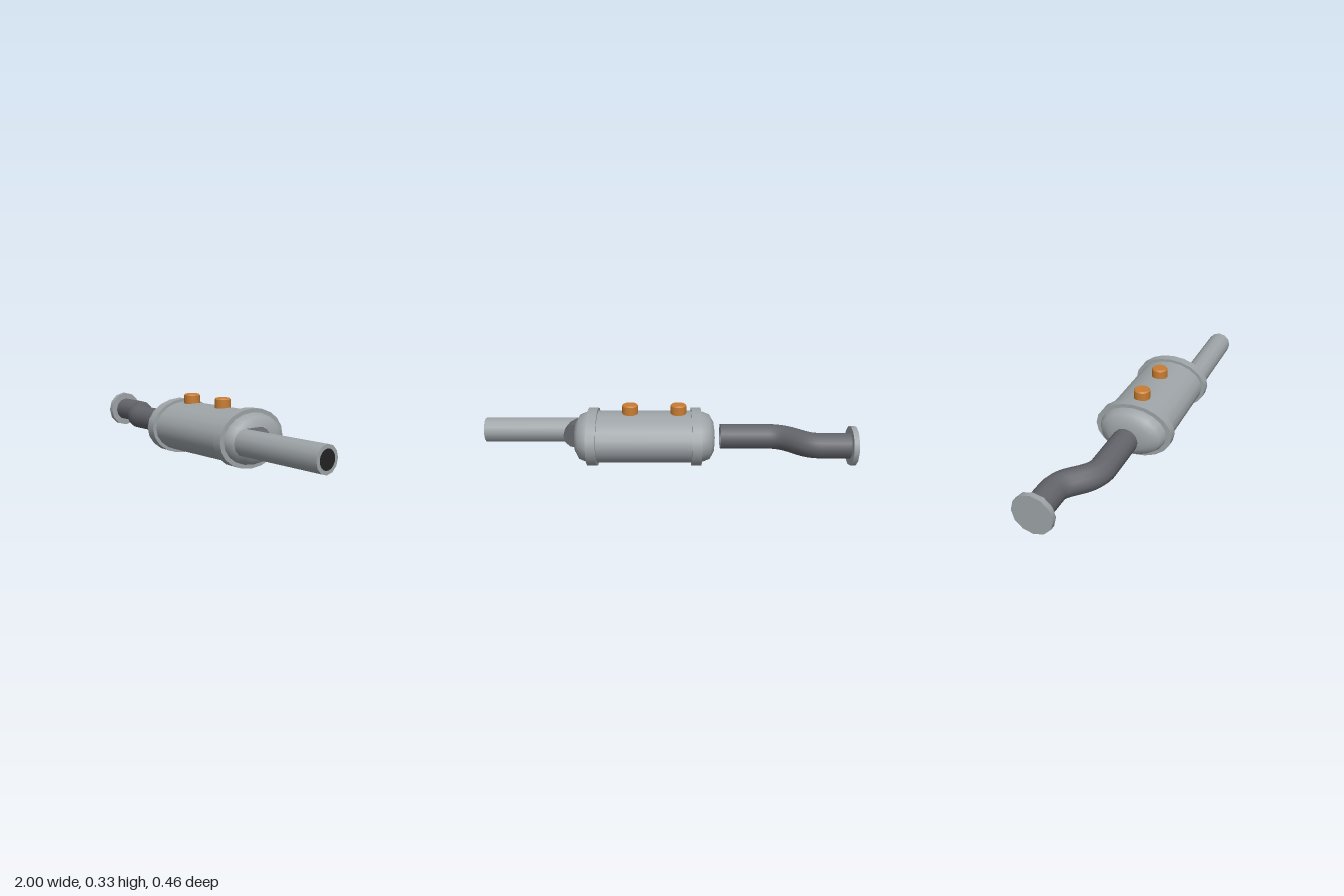
import * as THREE from 'three';
import { toCreasedNormals } from 'three/addons/utils/BufferGeometryUtils.js';

const AXIS_Y = 0.153;   // height of every pipe axis
const BODY_Z = 0.017;   // depth of the chamber axis
const OVAL = 0.715;     // height / width of the oval chamber
const PIPE_R = 0.068;

export function createModel() {
  const group = new THREE.Group();
  const mat = (name, color, side = THREE.FrontSide) => {
    const m = new THREE.MeshStandardMaterial({ color, side });
    m.name = name;
    return m;
  };
  const steel = mat('steel', 0x9ea4a7);
  const darkSteel = mat('dark steel', 0x64656b, THREE.DoubleSide);
  const copper = mat('copper', 0xc87d32);
  const black = mat('black', 0x222222);

  const add = (name, geometry, material, x = 0, y = 0, z = 0) => {
    const mesh = new THREE.Mesh(geometry, material);
    mesh.name = name;
    mesh.position.set(x, y, z);
    group.add(mesh);
    return mesh;
  };
  // Cylinder lying along x between two positions
  const rod = (r, x0, x1, sides) => {
    const g = new THREE.CylinderGeometry(r, r, x1 - x0, sides);
    return g.rotateZ(-Math.PI / 2).translate((x0 + x1) / 2, 0, 0);
  };

  // Oval chamber shell
  add('chamberShell', rod(0.19, -0.168, 0.39, 20).scale(1, OVAL, 1), steel, 0, AXIS_Y, BODY_Z);

  // Domed end caps and the raised bands over their seams
  const dome = [[0.185, 0], [0.182, 0.035], [0.162, 0.072], [0.112, 0.094], [0.055, 0.1], [0, 0.101]]
    .map(([r, h]) => new THREE.Vector2(r, h));
  for (const [side, x, dir] of [['left', 0.39, 1], ['right', -0.168, -1]]) {
    const cap = new THREE.LatheGeometry(dome, 20).rotateZ(-Math.PI / 2);
    if (dir < 0) cap.rotateY(Math.PI);
    add(side + 'EndCap', cap.scale(1, OVAL, 1), steel, x, AXIS_Y, BODY_Z);
    add(side + 'Band', rod(0.211, -0.026, 0.026, 20).scale(1, OVAL, 1), steel, x, AXIS_Y, BODY_Z);
  }

  // S-bent inlet pipe
  const v = (x, z) => new THREE.Vector3(x, AXIS_Y, z);
  const path = new THREE.CurvePath();
  path.add(new THREE.LineCurve3(v(-0.975, -0.123), v(-0.82, -0.123)));
  path.add(new THREE.CubicBezierCurve3(v(-0.82, -0.123), v(-0.70, -0.123), v(-0.70, BODY_Z), v(-0.55, BODY_Z)));
  path.add(new THREE.LineCurve3(v(-0.55, BODY_Z), v(-0.3, BODY_Z)));
  add('inletPipe', new THREE.TubeGeometry(path, 40, PIPE_R, 12), darkSteel);

  // Inlet flange
  add('inletFlange', rod(0.105, -1, -0.972, 12), steel, 0, AXIS_Y, -0.123);

  // Sideways connector from the chamber to the offset outlet
  const connector = new THREE.CylinderGeometry(PIPE_R, PIPE_R, 0.108, 12).rotateX(Math.PI / 2);
  add('outletConnector', connector, darkSteel, 0.488, AXIS_Y, BODY_Z + 0.054);

  // Outlet pipe with its dark bore
  add('outletPipe', rod(PIPE_R, 0.482, 0.999, 12), steel, 0, AXIS_Y, 0.125);
  add('outletBore', new THREE.CircleGeometry(0.048, 24).rotateY(Math.PI / 2), black, 1, AXIS_Y, 0.125);

  // Bevelled sensor bosses on top
  const boss = [[0.043, 0], [0.043, 0.077], [0.037, 0.084], [0, 0.084]].map(([r, h]) => new THREE.Vector2(r, h));
  [-0.072, 0.188].forEach((x, i) => {
    const g = toCreasedNormals(new THREE.LatheGeometry(boss, 20), 0.5);
    add('sensorBoss' + (i + 1), g, copper, x, 0.252, BODY_Z);
  });

  return group;
}
